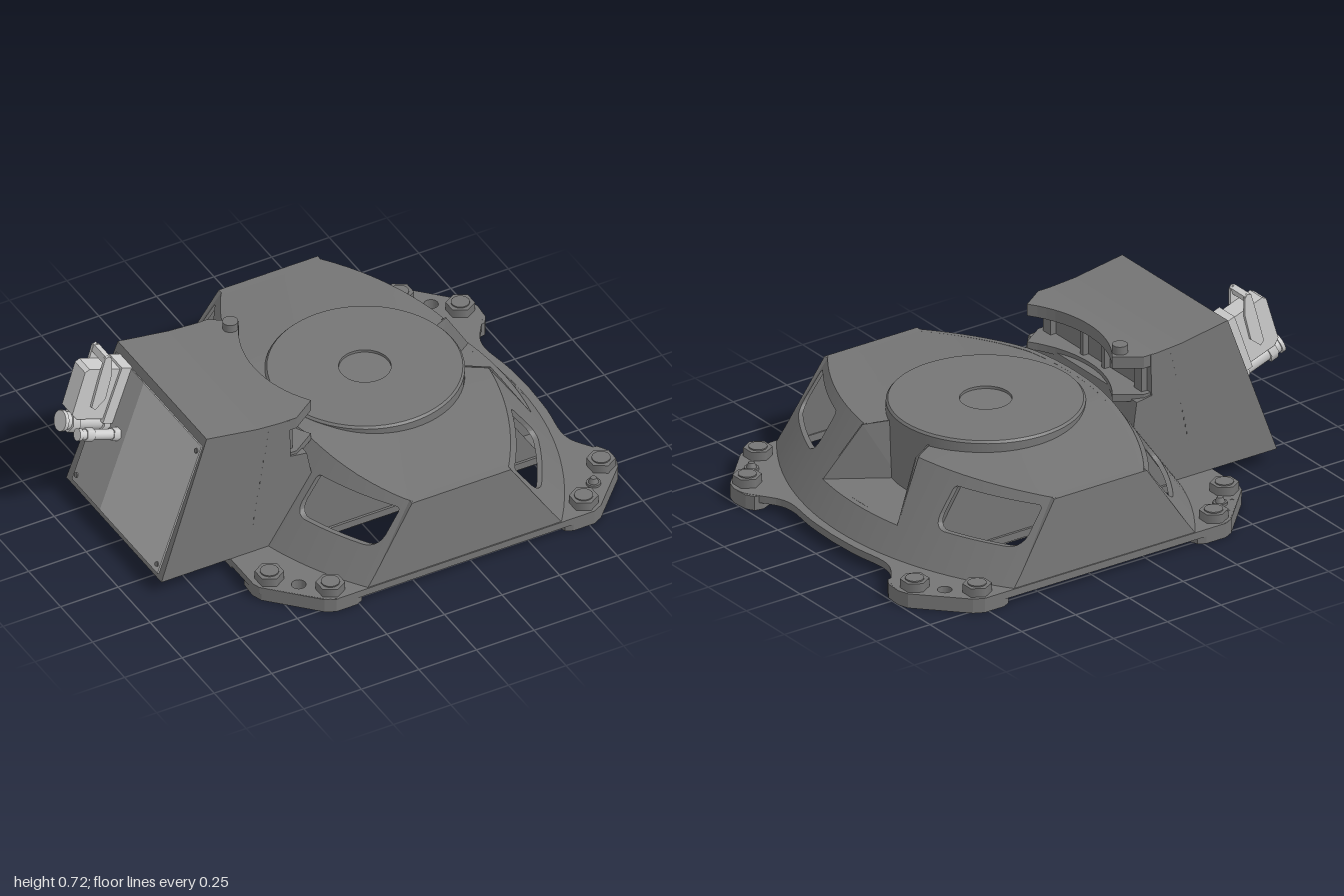
import * as THREE from 'three';
import { mergeGeometries, toCreasedNormals } from 'three/addons/utils/BufferGeometryUtils.js';

const CX = 0.21; // centre of the domed body
const dark = new THREE.MeshStandardMaterial({ color: 0x757575 });
const darkOpen = new THREE.MeshStandardMaterial({ color: 0x757575, side: THREE.DoubleSide });
const panelGrey = new THREE.MeshStandardMaterial({ color: 0xb8b8b8 });
const plateGrey = new THREE.MeshStandardMaterial({ color: 0x9c9c9c });
const light = new THREE.MeshStandardMaterial({ color: 0xcccccc });

const add = (parent, name, geo, x = 0, y = 0, z = 0, mat = dark) => {
  const m = new THREE.Mesh(geo, mat);
  m.name = name;
  m.position.set(x, y, z);
  parent.add(m);
};
const box = (w, h, d) => new THREE.BoxGeometry(w, h, d);
const cyl = (r, h, n = 24, r2 = r) => new THREE.CylinderGeometry(r, r2, h, n);
const poly = (pts) => new THREE.Shape(pts.map(([x, y]) => new THREE.Vector2(x, y)));
const extrude = (shape, depth) =>
  new THREE.ExtrudeGeometry(shape, { depth, bevelEnabled: false, curveSegments: 16 });
// horizontal slab from a plan outline (x, z)
const slab = (shape, y0, y1) => extrude(shape, y1 - y0).rotateX(Math.PI / 2).translate(0, y1, 0);
const hole = (shape, x, y, r) => {
  const p = new THREE.Path();
  p.absarc(x, y, r, 0, Math.PI * 2, true);
  shape.holes.push(p);
};
const deform = (geo, rule) => {
  const p = geo.attributes.position, v = new THREE.Vector3();
  for (let i = 0; i < p.count; i++) {
    rule(v.fromBufferAttribute(p, i));
    p.setXYZ(i, v.x, v.y, v.z);
  }
  geo.computeVertexNormals();
  return geo;
};

// body rules: half width in plan, taper in z, height of the sloping roof
const clamp = THREE.MathUtils.clamp;
const half = (u) => 0.68 - (1.3 - Math.sqrt(1.69 - u * u));
const taper = (y) => 1 - 0.103 * (y - 0.06);
const wallX = (u, y) => half(u) - 0.71 * (y - 0.06);
const roofY = (x, z) => {
  const w = clamp((Math.abs(z) - 0.25) / 0.51, 0, 1);
  return 0.43 - 0.05 * clamp((x + 0.2) / 0.85, 0, 1) * (1 - w) - 0.06 * w;
};
const edgeY = (side, u) => roofY(CX + side * (half(u) - 0.22), u);

// stations across the body, dense around the window corners
const near = [0, 0.06, 0.12, 0.135, 0.16, 0.185, 0.22, 0.25, 0.3, 0.35, 0.4, 0.403, 0.41, 0.42,
  0.435, 0.45, 0.5, 0.55, 0.6, 0.65, 0.695, 0.71, 0.725, 0.735, 0.742, 0.745, 0.78];
const stations = [...near.slice(1).reverse().map((u) => -u), ...near];

function windowAt(u, top) {
  const d = Math.min(Math.abs(u) - 0.4, 0.745 - Math.abs(u));
  const r = top ? 0.015 : 0.05;
  const e = Math.max(0, r - d);
  const cut = r - Math.sqrt(Math.max(0, r * r - e * e));
  return top ? 0.34 - cut : 0.19 + cut;
}

function curvedWall(side) {
  // upper edge of the notch, where its upright cheek meets the sloping wall
  const notchAt = (u) => 0.16 + (edgeY(side, u) - 0.16) * (0.25 - Math.abs(u)) / 0.065;
  const parts = [];
  for (let i = 0; i + 1 < stations.length; i++) {
    const a = stations[i], b = stations[i + 1], mid = Math.abs(a + b) / 2;
    const ta = edgeY(side, a), tb = edgeY(side, b);
    let bands = [[0.04, 0.04, ta, tb]];
    if (mid > 0.4 && mid < 0.745)
      bands = [[0.04, 0.04, windowAt(a), windowAt(b)], [windowAt(a, true), windowAt(b, true), ta, tb]];
    else if (side > 0 && mid < 0.25) {
      bands = [[0.04, 0.04, 0.16, 0.16]];
      if (mid > 0.185) bands.push([notchAt(a), notchAt(b), ta, tb]);
    }
    for (const [la, lb, ha, hb] of bands)
      parts.push(extrude(poly([[a, la], [b, lb], [b, hb], [a, ha]]), 0.022));
  }
  const geo = deform(mergeGeometries(parts), (v) =>
    v.set(CX + side * (wallX(v.x, v.y) - v.z), v.y, side * v.x * taper(v.y)));
  return toCreasedNormals(geo, 0.5);
}

function roofGeometry() {
  const N = 16, pos = [], idx = [];
  for (const u of stations) {
    const a = Math.abs(u);
    const yl = edgeY(-1, u), yr = edgeY(1, u);
    const xl = CX - wallX(u, yl);
    // the front notch trims the roof
    const xr = a <= 0.135 ? 0.565 : Math.min(CX + wallX(u, yr), 0.565 + (a - 0.135) * 2.1);
    for (let j = 0; j <= N; j++) {
      const x = xl + (xr - xl) * j / N;
      pos.push(x, roofY(x, u), u * taper(0.37));
    }
  }
  for (let i = 0; i + 1 < stations.length; i++)
    for (let j = 0; j < N; j++) {
      const a = i * (N + 1) + j, b = a + N + 1;
      idx.push(a, b, a + 1, b, b + 1, a + 1);
    }
  const g = new THREE.BufferGeometry();
  g.setAttribute('position', new THREE.Float32BufferAttribute(pos, 3));
  g.setIndex(idx);
  g.computeVertexNormals();
  return g;
}

function buildBody(g) {
  add(g, 'rightCurvedWall', curvedWall(1));
  add(g, 'leftCurvedWall', curvedWall(-1));
  add(g, 'roof', roofGeometry(), 0, 0, 0, darkOpen);
  for (const s of [1, -1]) {
    const end = deform(extrude(poly([[-0.43, 0.04], [0.43, 0.04], [0.215, 0.37], [-0.215, 0.37]]), 0.03),
      (v) => { v.z += 0.78 * taper(v.y) - 0.03; });
    if (s < 0) end.rotateY(Math.PI);
    add(g, 'endWall', end, CX);
    // inner partition and notch cheek
    add(g, 'partition', extrude(poly([[-0.4, 0.03], [0.78, 0.03], [0.57, 0.36], [-0.18, 0.36]]), 0.02),
      0, 0, s * 0.37 - 0.01);
    const cheek = extrude(poly([[0.55, 0.155], [0.797, 0.155], [0.66, 0.38], [0.55, 0.392]]), 0.006);
    add(g, 'notchCheek', deform(cheek, (v) => {
      const t = (v.x - 0.55) / 0.25, inner = 0.125 - 0.13 * (0.43 - v.y);
      v.z = s * (inner + (0.25 - inner) * t) + v.z - 0.003;
    }), 0, 0, 0, darkOpen);
  }
  add(g, 'notchFloor', box(1.11, 0.12, 0.5), 0.24, 0.0995, 0);
  add(g, 'bottomPlate', box(1.41, 0.03, 0.76), 0.125, 0.035, 0);
  const disc = [[0.38, 0.16], [0.38, 0.427], [0.372, 0.436], [0.1, 0.436], [0.1, 0.425], [0, 0.425]];
  add(g, 'topDisc', toCreasedNormals(new THREE.LatheGeometry(
    disc.map(([x, y]) => new THREE.Vector2(x, y)), 64), 0.5), CX);
}

function buildBase(g) {
  // flange outline, one half then its mirror
  const side = new THREE.CatmullRomCurve3([[0.925, 0], [0.918, 0.15], [0.898, 0.3], [0.91, 0.36],
    [0.955, 0.43], [0.993, 0.49], [1, 0.54]].map(([x, z]) => new THREE.Vector3(x, z, 0)))
    .getPoints(24).map((p) => [p.x, p.y]);
  const upper = [...side, [0.985, 0.585], [0.81, 0.765], [0.77, 0.785], [-0.34, 0.785],
    [-0.38, 0.77], [-0.57, 0.58], [-0.58, 0.55]];
  const flange = poly([...upper, ...upper.slice(1).reverse().map(([x, z]) => [x, -z])]);
  for (const s of [1, -1]) {
    // opening beneath each windowed bay
    const zs = [0.39, 0.48, 0.57, 0.66, 0.745];
    const rim = [...zs.map((z) => [CX + half(z) - 0.03, s * z]),
      ...zs.slice().reverse().map((z) => [CX - half(z) + 0.03, s * z])];
    flange.holes.push(new THREE.Path(rim.map(([x, z]) => new THREE.Vector2(x, z))));
    for (const k of [1, -1]) {
      const fx = (x) => CX + k * x;
      const foot = poly([[0.43, 0.74], [0.44, 0.77], [0.47, 0.785], [0.56, 0.785], [0.6, 0.765],
        [0.775, 0.585], [0.79, 0.54], [0.785, 0.47], [0.765, 0.437], [0.73, 0.43], [0.68, 0.45],
        [0.46, 0.68]].map(([x, z]) => [fx(x), s * z]));
      const bolts = [[0.72, 0.55], [0.55, 0.72]];
      for (const [x, z] of [...bolts, [0.64, 0.635]]) {
        hole(foot, fx(x), s * z, 0.028);
        hole(flange, fx(x), s * z, 0.028);
      }
      add(g, 'foot', slab(foot, 0, 0.059));
      for (const [x, z] of bolts) {
        add(g, 'boltHead', cyl(0.056, 0.036, 6), fx(x), 0.078, s * z);
        add(g, 'boltCentre', cyl(0.036, 0.006), fx(x), 0.098, s * z);
      }
      // locating pins sit in two opposite corners
      if (s === k) {
        add(g, 'locatingPin', cyl(0.028, 0.06), fx(0.64), 0.04, s * 0.635);
        add(g, 'locatingPinTip', cyl(0.012, 0.02, 16, 0.02), fx(0.64), 0.08, s * 0.635);
      }
    }
  }
  hole(flange, -0.485, -0.635, 0.008);
  hole(flange, -0.42, -0.7, 0.008);
  add(g, 'flange', slab(flange, 0.03, 0.06));
}

function buildTerminalBox(g) {
  const profile = poly([[-0.88, 0.06], [-0.4, 0.06], [-0.22, 0.32], [-0.24, 0.43], [-0.31, 0.44],
    [-0.31, 0.607], [-0.45, 0.617], [-0.67, 0.652]]);
  add(g, 'terminalBox', deform(extrude(profile, 2), (v) => {
    v.z = (v.z - 1) * (0.372 - 0.042 * (v.y - 0.06));
  }));
  // curved lips that follow the disc
  const arc = [];
  for (let i = 0; i <= 16; i++) {
    const z = 0.28 - 0.56 * i / 16;
    arc.push([CX - Math.sqrt(0.2304 - z * z), z]);
  }
  const lip = poly([[-0.35, -0.348], [-0.35, 0.348], [-0.28, 0.348], ...arc, [-0.28, -0.348]]);
  add(g, 'upperLip', slab(lip, 0.56, 0.609));
  add(g, 'lowerLip', slab(lip, 0.42, 0.45));
  for (const s of [1, -1]) {
    add(g, 'slotRib', box(0.03, 0.11, 0.02), -0.3, 0.505, s * 0.07);
    add(g, 'slotPad', box(0.03, 0.11, 0.05), -0.3, 0.505, s * 0.3);
    for (let i = 0; i < 14; i++) {
      const y = 0.18 + i * 0.031;
      add(g, 'seamDot', box(0.004, 0.01, 0.002), -0.514 + 0.19 * y, y,
        s * (0.372 - 0.042 * (y - 0.06)));
    }
  }
  add(g, 'lipBolt', cyl(0.03, 0.035, 24), -0.23, 0.625, -0.26);

  // sloping end face: local -x points outward, y runs up the face
  const face = new THREE.Group();
  face.name = 'endFace';
  face.position.set(-0.88, 0.06, 0);
  face.rotation.z = -0.342;
  g.add(face);
  add(face, 'coverPanel', box(0.01, 0.57, 0.45), -0.002, 0.305, 0.115, panelGrey);
  add(face, 'connectorPlate', box(0.01, 0.57, 0.22), -0.001, 0.305, -0.22, plateGrey);
  for (const y of [0.05, 0.56]) for (const z of [-0.31, 0.32])
    add(face, 'panelScrew', cyl(0.01, 0.006, 12).rotateZ(Math.PI / 2), -0.009, y, z);
  add(face, 'connectorBase', box(0.05, 0.25, 0.1), -0.025, 0.47, -0.26, light);
  const hood = extrude(poly([[0, 0.36], [0, 0.585], [-0.19, 0.585], [-0.205, 0.57], [-0.197, 0.38],
    [-0.17, 0.36]]), 0.08);
  add(face, 'connectorHood', hood, 0, 0, -0.3, light);
  const lever = extrude(poly([[-0.08, 0.46], [-0.09, 0.57], [-0.115, 0.64], [-0.13, 0.65],
    [-0.145, 0.64], [-0.14, 0.55], [-0.13, 0.42], [-0.11, 0.41]]), 0.012);
  for (const z of [-0.314, -0.218]) add(face, 'lockingLever', lever, 0, 0, z, light);
  add(face, 'leverBar', box(0.025, 0.03, 0.1), -0.13, 0.63, -0.26, light);
  // cable glands point straight out of the face
  const gland = (z, r, out) => {
    const along = (name, rad, len, x, n) =>
      add(face, name, cyl(rad, len, n).rotateZ(Math.PI / 2), -x, 0.33, z, light);
    along('glandBody', r * 0.75, out, out / 2, 20);
    along('glandNut', r, 0.035, out - 0.05, 6);
    along('glandBaseNut', r, 0.03, 0.02, 6);
    along('glandCollar', r * 0.9, 0.015, out - 0.005, 20);
  };
  gland(-0.26, 0.046, 0.21);
  gland(-0.16, 0.027, 0.19);
}

export function createModel() {
  const root = new THREE.Group();
  root.name = 'housing';
  for (const [name, build] of [['body', buildBody], ['base', buildBase], ['terminalBoxAssembly', buildTerminalBox]]) {
    const g = new THREE.Group();
    g.name = name;
    build(g);
    root.add(g);
  }
  return root;
}
